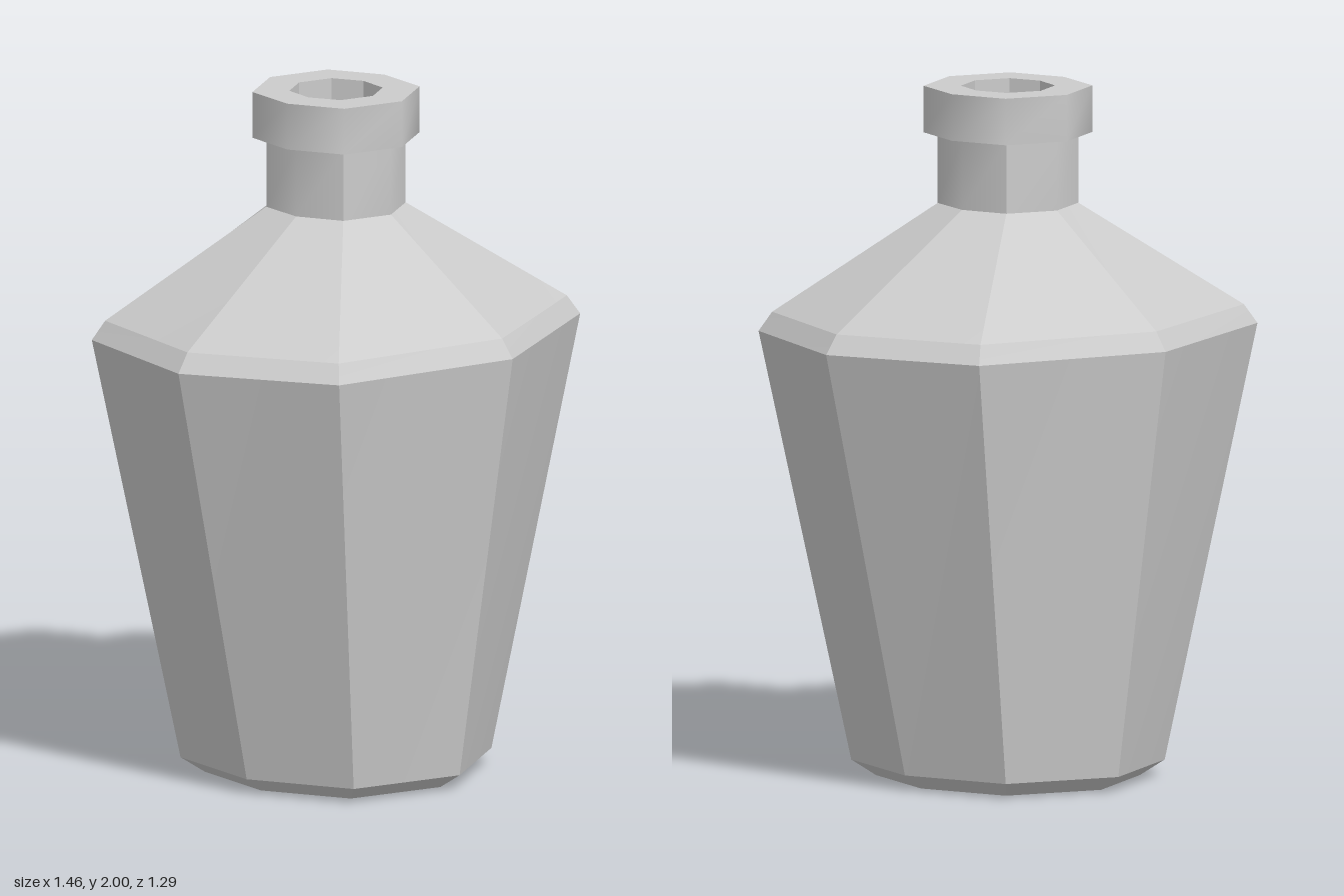
import * as THREE from 'three';
import { toCreasedNormals } from 'three/addons/utils/BufferGeometryUtils.js';

// Eight corners of a ring: x and z reach on the axes, dx and dz on the diagonals
function ring([y, x, z, dx, dz]) {
  return [[x, 0], [dx, dz], [0, z], [-dx, dz], [-x, 0], [-dx, -dz], [0, -z], [dx, -dz]]
    .map(([px, pz]) => [px, y, pz]);
}

// Skin a stack of rings; a ring of zero size closes the end
function loft(sections, crease) {
  const pos = [];
  for (let i = 0; i < sections.length - 1; i++) {
    const a = ring(sections[i]), b = ring(sections[i + 1]);
    for (let k = 0; k < 8; k++) {
      const n = (k + 1) % 8;
      if (sections[i][1] > 0) pos.push(...a[k], ...b[k], ...a[n]);
      if (sections[i + 1][1] > 0) pos.push(...a[n], ...b[k], ...b[n]);
    }
  }
  const geometry = new THREE.BufferGeometry();
  geometry.setAttribute('position', new THREE.Float32BufferAttribute(pos, 3));
  return toCreasedNormals(geometry, crease);
}

export function createModel() {
  const group = new THREE.Group();
  const material = new THREE.MeshStandardMaterial({ color: 0xcccccc });
  const add = (name, sections, crease) => {
    const mesh = new THREE.Mesh(loft(sections, crease), material);
    mesh.name = name;
    group.add(mesh);
  };

  const neck = [0.185, 0.2, 0.145, 0.14];
  const lip = [0.226, 0.24, 0.175, 0.167];
  const bore = [0.128, 0.134, 0.098, 0.093];

  // Faceted body with bevelled foot and shoulder
  add('body', [
    [0, 0, 0, 0, 0],
    [0, 0.35, 0.38, 0.27, 0.265],
    [0.045, 0.415, 0.45, 0.32, 0.315],
    [1.3, 0.732, 0.643, 0.56, 0.45],
    [1.355, 0.69, 0.605, 0.53, 0.425],
    [1.66, ...neck],
  ], 0.2);

  // Softly shaded neck
  add('neck', [[1.66, ...neck], [1.865, ...neck]], 0.9);

  // Lip with its underside, flat rim and hollow mouth
  add('lip', [[1.865, ...neck], [1.865, ...lip], [2, ...lip], [2, ...bore]], 0.9);
  add('mouth', [[2, ...bore], [1.66, ...bore], [1.66, 0, 0, 0, 0]], 0.2);

  return group;
}
